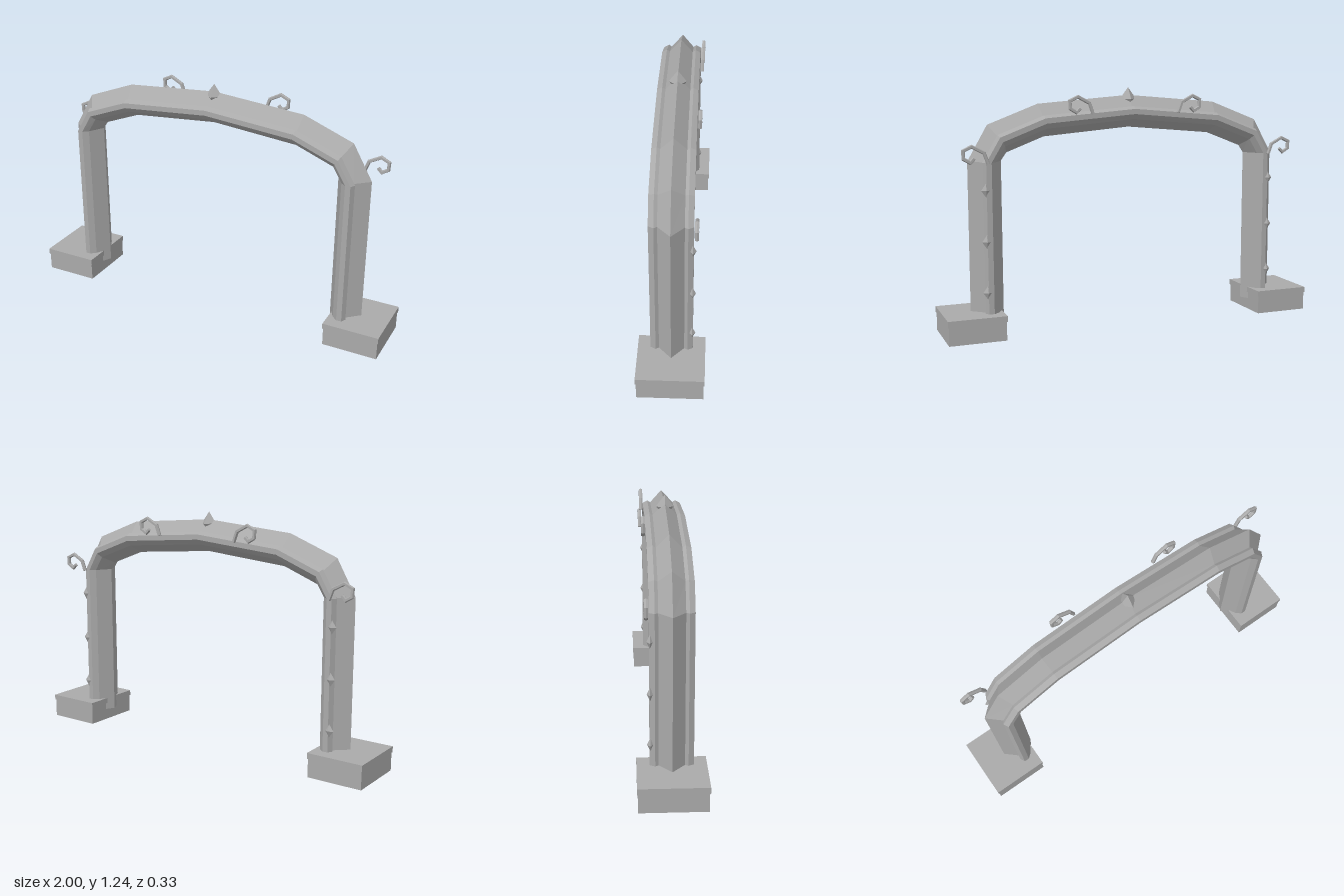
import * as THREE from 'three';

const stone = new THREE.MeshStandardMaterial({ color: 0xaaaaaa });
stone.name = 'grey stone';
stone.flatShading = true;

// Loft between two matching paths in the xy plane. The profile lists [t, z] from
// t = 0 (first path) to t = 1 (second path); it is mirrored across z = 0.
function loft(pathA, pathB, half) {
  const lower = half.map(([t, z]) => [t, -z]);
  const upper = half.slice(1, -1).reverse();
  const profile = [...lower, ...upper];
  const n = profile.length;
  const rings = pathA.map((a, i) => profile.map(([t, z]) => [
    a[0] + (pathB[i][0] - a[0]) * t,
    a[1] + (pathB[i][1] - a[1]) * t,
    z,
  ]));
  const pos = [];
  const quad = (a, b, c, d) => pos.push(...a, ...b, ...c, ...a, ...c, ...d);
  for (let i = 0; i < rings.length - 1; i++) {
    for (let k = 0; k < n; k++) {
      const m = (k + 1) % n;
      quad(rings[i][k], rings[i][m], rings[i + 1][m], rings[i + 1][k]);
    }
  }
  // end caps, as strips between mirrored profile points
  const first = rings[0], last = rings[rings.length - 1];
  for (let k = 0; k < half.length - 1; k++) {
    const a = k, b = k + 1, c = n - k - 1, d = (n - k) % n;
    quad(first[d], first[c], first[b], first[a]);
    quad(last[a], last[b], last[c], last[d]);
  }
  const geo = new THREE.BufferGeometry();
  geo.setAttribute('position', new THREE.Float32BufferAttribute(pos, 3));
  geo.computeVertexNormals();
  return geo;
}

// Thin angular rod along a polyline, with mitred corners
function rod(points, r) {
  const dir = (a, b) => new THREE.Vector2(b[0] - a[0], b[1] - a[1]).normalize();
  const sides = points.map((p, i) => {
    const d0 = dir(points[Math.max(i - 1, 0)], points[Math.max(i, 1)]);
    const last = points.length - 1;
    const d1 = dir(points[Math.min(i, last - 1)], points[Math.min(i + 1, last)]);
    const t = d0.clone().add(d1).normalize();
    const s = r / t.dot(d0);
    return [[p[0] + t.y * s, p[1] - t.x * s], [p[0] - t.y * s, p[1] + t.x * s]];
  });
  return loft(sides.map((s) => s[0]), sides.map((s) => s[1]),
    [[0, 0], [0.2, r], [0.8, r], [1, 0]]);
}

export function createModel() {
  const model = new THREE.Group();
  model.name = 'archway';
  const add = (geo, name, x = 0, y = 0, z = 0) => {
    const mesh = new THREE.Mesh(geo, stone);
    mesh.name = name;
    mesh.position.set(x, y, z);
    model.add(mesh);
    return mesh;
  };

  // Arch: outer and inner ridge lines, mirrored across the middle
  const across = (pts) => [...pts, ...pts.slice(0, -1).reverse().map(([x, y]) => [-x, y])];
  const outer = across([[0.853, 0.06], [0.853, 0.88], [0.75, 1.06], [0.49, 1.16], [0, 1.2]]);
  const inner = across([[0.683, 0.06], [0.683, 0.88], [0.655, 0.92], [0.46, 0.995], [0, 1.035]]);
  const moulding = [
    [0, 0], [0.4, 0.062], [0.34, 0.078], [0.42, 0.104],
    [0.58, 0.104], [0.74, 0.08], [0.8, 0.062], [1, 0],
  ];
  add(loft(outer, inner, moulding), 'arch');

  // Pointed stone at the crown
  add(new THREE.OctahedronGeometry(1), 'crownStone', 0, 1.18, 0).scale.set(0.045, 0.06, 0.045);

  const curl = [
    [0, 0], [0.02, 0.054], [0.08, 0.086], [0.122, 0.066],
    [0.12, 0.027], [0.088, 0.008], [0.068, 0.028],
  ];
  for (const side of [1, -1]) {
    const name = side > 0 ? 'left' : 'right';

    // Foot block with a slightly wider cap
    add(new THREE.BoxGeometry(0.288, 0.095, 0.324), name + 'Foot', side * 0.852, 0.0475, 0);
    add(new THREE.BoxGeometry(0.296, 0.03, 0.332), name + 'FootCap', side * 0.852, 0.11, 0);

    // Studs up the back of the leg
    for (const y of [0.235, 0.49, 0.745]) {
      add(new THREE.OctahedronGeometry(1), name + 'Stud', side * 0.785, y, -0.1)
        .scale.set(0.024, 0.034, 0.016);
    }

    // Curled hooks behind the arch
    const hook = rod(curl.map(([x, y]) => [side * x, y]), 0.009);
    add(hook, name + 'SideHook', side * 0.775, 0.877, -0.118);
    add(hook, name + 'TopHook', side * 0.235, 1.11, -0.118);
  }
  return model;
}
